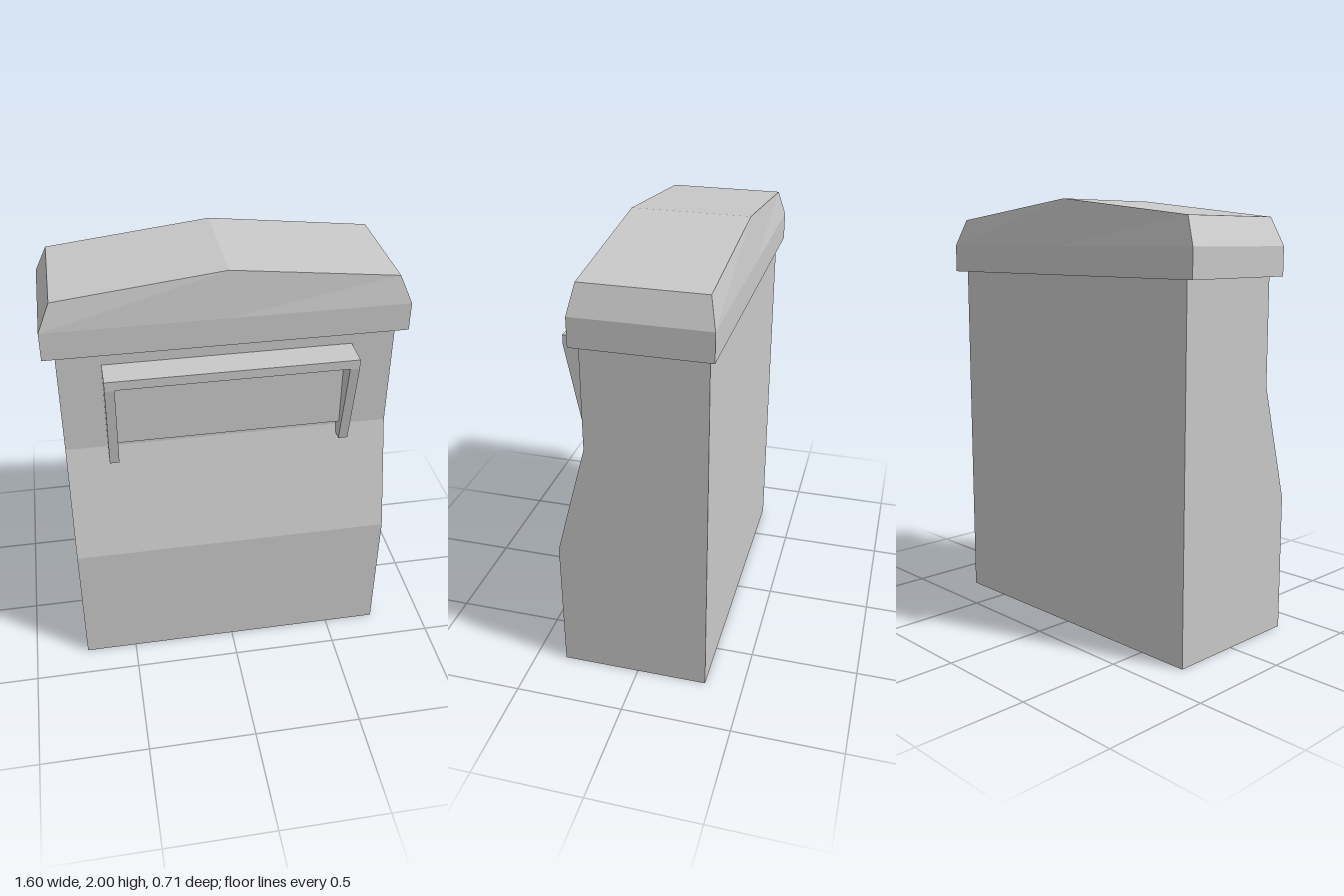
import * as THREE from 'three';

const grey = new THREE.MeshStandardMaterial({ color: 0xc8c8c8, side: THREE.DoubleSide });
grey.name = 'plain grey';

// Extrude a side profile of [z, y] points between two x positions
function sideExtrude(name, profile, x0, x1) {
  const shape = new THREE.Shape(profile.map(([z, y]) => new THREE.Vector2(-z, y)));
  const geometry = new THREE.ExtrudeGeometry(shape, { depth: x1 - x0, bevelEnabled: false });
  geometry.rotateY(Math.PI / 2).translate(x0, 0, 0);
  const mesh = new THREE.Mesh(geometry, grey);
  mesh.name = name;
  return mesh;
}

function box(name, x0, x1, y0, y1, z0, z1) {
  const geometry = new THREE.BoxGeometry(x1 - x0, y1 - y0, z1 - z0);
  geometry.translate((x0 + x1) / 2, (y0 + y1) / 2, (z0 + z1) / 2);
  const mesh = new THREE.Mesh(geometry, grey);
  mesh.name = name;
  return mesh;
}

// Open-bottomed lid: six-point rings joined upwards, closed by a gabled top
function createLid() {
  const ring = (x, y, yMid, front, back) => [
    [-x, y, front], [0, yMid, front], [x, y, front],
    [x, y, back], [0, yMid, back], [-x, y, back],
  ];
  const rings = [
    ring(0.8, 1.66, 1.66, 0.24, -0.355),
    ring(0.8, 1.79, 1.79, 0.24, -0.355),
    ring(0.745, 1.915, 2, 0.215, -0.325),
  ];
  const positions = [];
  const quad = (a, b, c, d) => positions.push(...a, ...b, ...c, ...a, ...c, ...d);
  for (let r = 0; r < 2; r++) {
    for (let i = 0; i < 6; i++) {
      const j = (i + 1) % 6;
      quad(rings[r][i], rings[r][j], rings[r + 1][j], rings[r + 1][i]);
    }
  }
  const top = rings[2];
  quad(top[0], top[1], top[4], top[5]);
  quad(top[1], top[2], top[3], top[4]);
  const geometry = new THREE.BufferGeometry();
  geometry.setAttribute('position', new THREE.Float32BufferAttribute(positions, 3));
  geometry.computeVertexNormals();
  const mesh = new THREE.Mesh(geometry, grey);
  mesh.name = 'lid';
  return mesh;
}

export function createModel() {
  const model = new THREE.Group();
  model.name = 'bin';

  // Body with a sloping step in its front
  model.add(sideExtrude('body', [
    [-0.325, 0], [0.358, 0], [0.358, 0.635], [0.215, 1.17], [0.215, 1.78], [-0.325, 1.78],
  ], -0.745, 0.745));

  model.add(createLid());

  // Hood: top bar, tapering legs and the panel between them
  const hood = new THREE.Group();
  hood.name = 'hood';
  hood.add(box('hoodTop', -0.51, 0.51, 1.557, 1.6, 0.21, 0.358));
  hood.add(box('hoodPanel', -0.51, 0.51, 1.215, 1.557, 0.21, 0.26));
  const leg = (name, x0, x1, foot) => sideExtrude(name, [
    [0.212, 1.13], [foot, 1.13], [0.358, 1.555], [0.358, 1.6], [0.212, 1.6],
  ], x0, x1);
  hood.add(leg('leftHoodLeg', 0.51, 0.553, 0.276));
  hood.add(leg('rightHoodLeg', -0.553, -0.51, 0.294));
  model.add(hood);

  return model;
}
